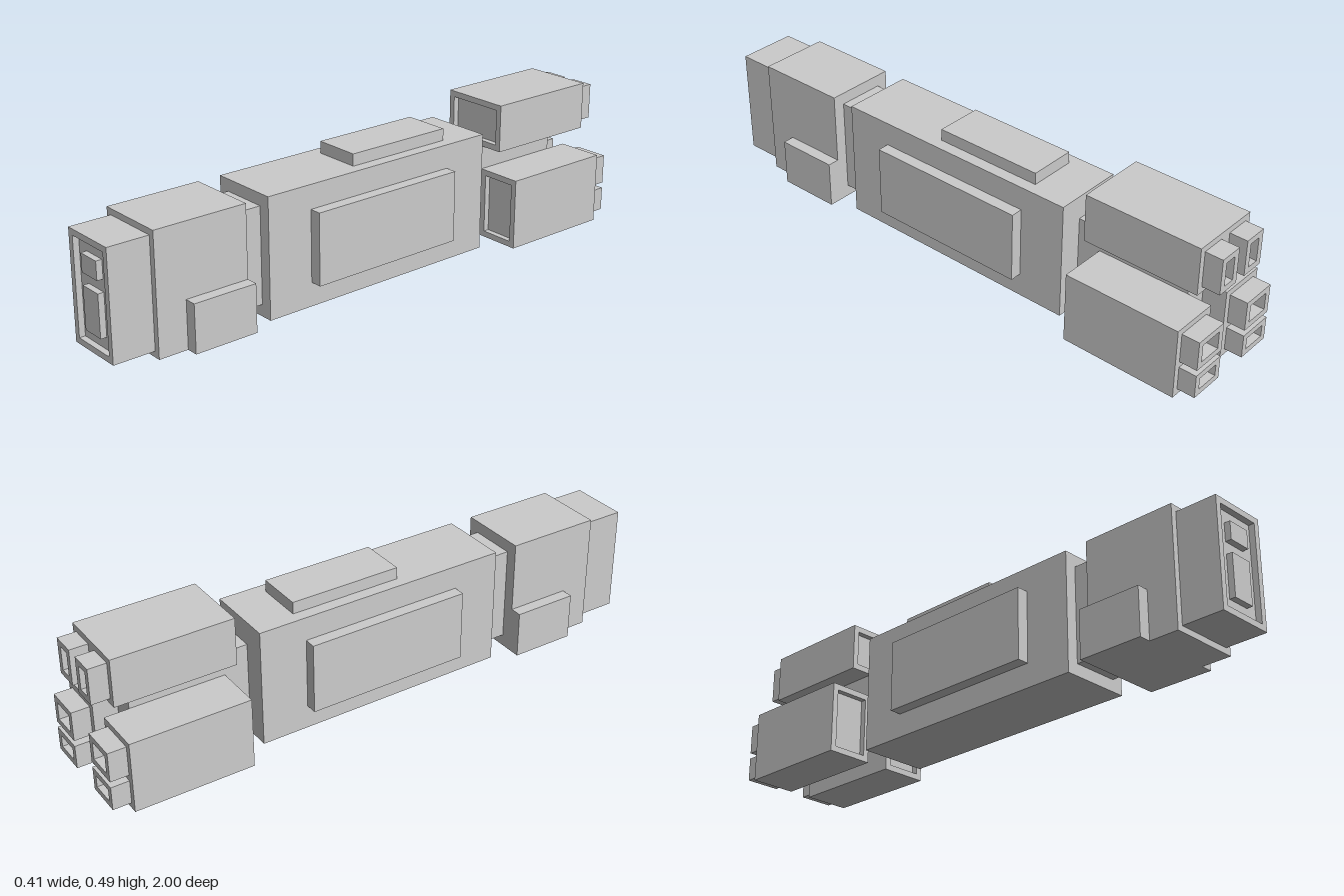
import * as THREE from 'three';

const U = 2 / 98; // the model sits on a grid 98 cells long
const material = new THREE.MeshStandardMaterial({ color: 0xcccccc, flatShading: true });

function add(parent, name, geometry) {
  const mesh = new THREE.Mesh(geometry, material);
  mesh.name = name;
  parent.add(mesh);
}

// Solid block between two corners, in grid cells
function block(parent, name, x0, x1, y0, y1, z0, z1) {
  const g = new THREE.BoxGeometry(x1 - x0, y1 - y0, z1 - z0);
  g.translate((x0 + x1) / 2, (y0 + y1) / 2, (z0 + z1) / 2);
  add(parent, name, g);
}

// Rectangular frame with a wall one cell thick, open along z
function frame(parent, name, x0, x1, y0, y1, z0, z1) {
  const rect = (path, i) => path.moveTo(x0 + i, y0 + i).lineTo(x1 - i, y0 + i)
    .lineTo(x1 - i, y1 - i).lineTo(x0 + i, y1 - i).closePath();
  const shape = rect(new THREE.Shape(), 0);
  shape.holes.push(rect(new THREE.Path(), 1));
  const g = new THREE.ExtrudeGeometry(shape, { depth: z1 - z0, bevelEnabled: false });
  g.translate(0, 0, z0);
  add(parent, name, g);
}

// Block whose front face is sunk one cell inside a rim
function recessedBlock(parent, name, x0, x1, y0, y1, z0, z1) {
  block(parent, name, x0, x1, y0, y1, z0, z1 - 1);
  frame(parent, name + 'Rim', x0, x1, y0, y1, z1 - 1, z1);
}

// Exhaust: a hollow end two cells deep on a short solid root
function nozzle(parent, name, x0, x1, y0, y1) {
  block(parent, name + 'Root', x0, x1, y0, y1, -47, -46);
  frame(parent, name, x0, x1, y0, y1, -49, -47);
}

export function createModel() {
  const ship = new THREE.Group();
  ship.name = 'spaceship';
  ship.scale.setScalar(U);

  // Nose with two raised windows in its recess
  recessedBlock(ship, 'nose', -5, 5, 1, 19, 42, 49);
  block(ship, 'upperWindow', -2, 2, 13, 16, 48, 49);
  block(ship, 'lowerWindow', -2, 2, 4, 11, 48, 49);

  // Hull sections and connecting necks
  block(ship, 'head', -6, 6, 0, 20, 26, 42);
  block(ship, 'frontNeck', -4, 4, 2, 18, 22, 26);
  block(ship, 'body', -6, 6, 0, 20, -22, 22);
  block(ship, 'roofPanel', -4, 4, 20, 22, -15, 4);
  block(ship, 'rearNeck', -2, 2, 6, 16, -42, -22);

  // Top engine
  recessedBlock(ship, 'topEngine', -6, 6, 16, 24, -46, -26);

  // Parts mirrored to both sides
  for (const s of [1, -1]) {
    const side = new THREE.Group();
    side.name = s > 0 ? 'leftSide' : 'rightSide';
    ship.add(side);
    const span = (a, b) => (s > 0 ? [a, b] : [-b, -a]);
    block(side, 'headPod', ...span(6, 8), 0, 8, 26, 37);
    block(side, 'sidePanel', ...span(6, 8), 4, 16, -14, 14);
    recessedBlock(side, 'sideEngine', ...span(2, 10), 0, 12, -46, -26);
    nozzle(side, 'topNozzle', ...span(1, 5), 17, 23);
    nozzle(side, 'upperSideNozzle', ...span(3, 9), 6, 11);
    nozzle(side, 'lowerSideNozzle', ...span(3, 9), 1, 5);
  }
  return ship;
}
